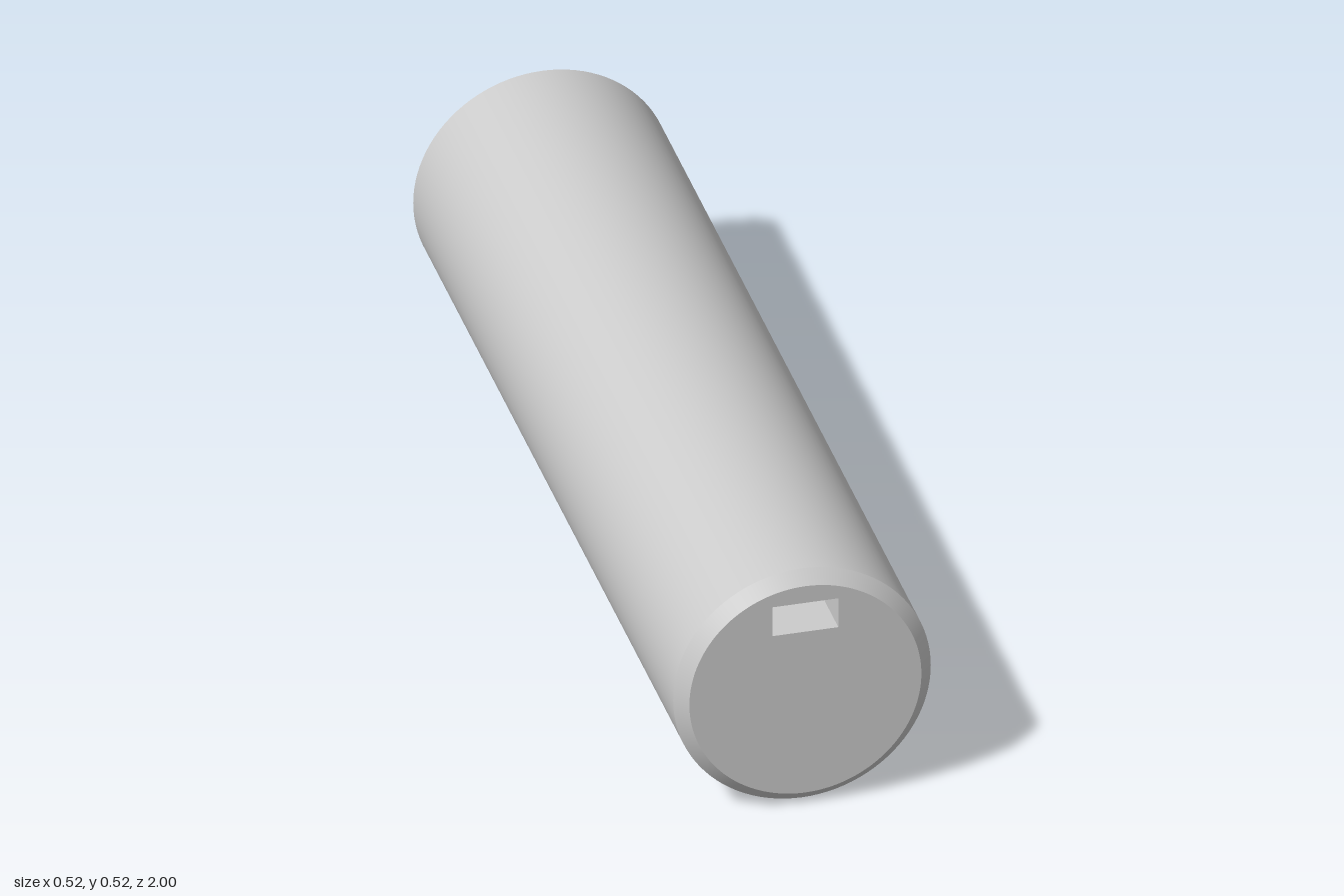
import * as THREE from 'three';

const R = 0.262;            // outer radius, also the height of the axis
const CHAMFER = 0.026;
const LENGTH = 2;
const SEGMENTS = 96;
const SLOT = { w: 0.134, h: 0.066, y: 0.427 - R }; // y measured from the axis

export function createModel() {
  const group = new THREE.Group();
  group.name = 'slottedRod';
  const material = new THREE.MeshStandardMaterial({ color: 0xcccccc });

  const add = (name, geometry, parent = group) => {
    const mesh = new THREE.Mesh(geometry, material);
    mesh.name = name;
    parent.add(mesh);
    return mesh;
  };

  // Open tube section along z, from back to front
  const section = (name, rBack, rFront, zBack, zFront) =>
    add(name, new THREE.CylinderGeometry(rFront, rBack, zFront - zBack, SEGMENTS, 1, true)
      .rotateX(Math.PI / 2)
      .translate(0, R, (zBack + zFront) / 2));

  // Flat disc with the slot opening cut out, facing +z
  const endFace = (radius) => {
    const disc = new THREE.Shape().absarc(0, 0, radius, 0, Math.PI * 2, false);
    const x = SLOT.w / 2, y0 = SLOT.y - SLOT.h / 2, y1 = SLOT.y + SLOT.h / 2;
    disc.holes.push(new THREE.Path([[-x, y0], [-x, y1], [x, y1], [x, y0]]
      .map(([px, py]) => new THREE.Vector2(px, py))));
    return new THREE.ShapeGeometry(disc, SEGMENTS);
  };

  // Outer surface: straight body and front chamfer
  const front = LENGTH / 2;
  section('body', R, R, -front, front - CHAMFER);
  section('frontChamfer', R, R - CHAMFER, front - CHAMFER, front);

  // End faces
  add('frontFace', endFace(R - CHAMFER).translate(0, R, front));
  add('backFace', endFace(R).rotateY(Math.PI).translate(0, R, -front));

  // Four inward-facing walls of the slot running the full length
  const slot = new THREE.Group();
  slot.name = 'slot';
  slot.position.y = R + SLOT.y;
  group.add(slot);
  ['Floor', 'RightWall', 'Ceiling', 'LeftWall'].forEach((name, i) => {
    const [across, depth] = i % 2 ? [SLOT.h, SLOT.w] : [SLOT.w, SLOT.h];
    add('slot' + name, new THREE.PlaneGeometry(across, LENGTH)
      .rotateX(-Math.PI / 2)
      .translate(0, -depth / 2, 0)
      .rotateZ(-i * Math.PI / 2), slot);
  });

  return group;
}
